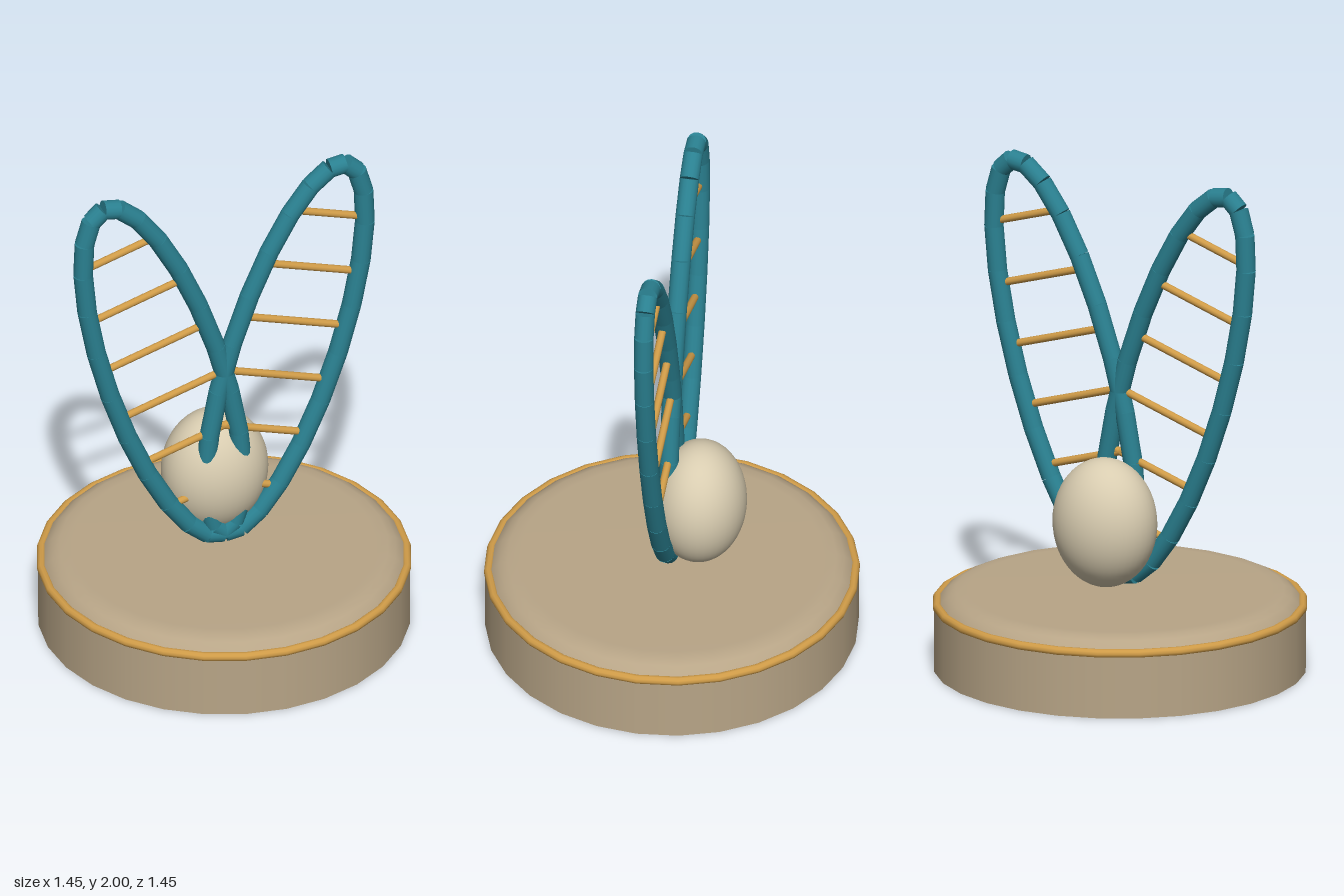
import * as THREE from 'three';

const material = (name, color) => {
  const m = new THREE.MeshStandardMaterial({ color });
  m.name = name;
  return m;
};

export function createModel() {
  const stone = material('warm stone', 0xb8a587);
  const cream = material('cream', 0xd8ccb0);
  const teal = material('teal', 0x2a8090);
  const gold = material('gold', 0xd09c48);
  const model = new THREE.Group();
  model.name = 'loopSculpture';

  const add = (parent, name, geometry, mat) => {
    const mesh = new THREE.Mesh(geometry, mat);
    mesh.name = name;
    parent.add(mesh);
    return mesh;
  };

  // Straight rod between two points
  const rod = (parent, name, p, q, radius, sides, mat) => {
    const dir = q.clone().sub(p);
    const mesh = add(parent, name, new THREE.CylinderGeometry(radius, radius, dir.length(), sides), mat);
    mesh.position.copy(p).add(q).multiplyScalar(0.5);
    mesh.quaternion.setFromUnitVectors(new THREE.Vector3(0, 1, 0), dir.normalize());
  };

  // Plinth: drum, softly rounded top and gold rim
  const sides = 28;
  const plinth = new THREE.Group();
  plinth.name = 'plinth';
  model.add(plinth);
  add(plinth, 'drum', new THREE.CylinderGeometry(0.72, 0.72, 0.26, sides), stone).position.y = 0.13;
  const profile = [[0.705, 0.255], [0.69, 0.277], [0.665, 0.296], [0.635, 0.308], [0.59, 0.31], [0, 0.31]];
  add(plinth, 'roundedTop', new THREE.LatheGeometry(profile.map(([x, y]) => new THREE.Vector2(x, y)), sides), stone);
  const rim = add(plinth, 'rim', new THREE.TorusGeometry(0.707, 0.018, 10, sides), gold);
  rim.rotation.x = -Math.PI / 2;
  rim.position.y = 0.256;

  // Egg-shaped core behind the loops
  const core = add(model, 'core', new THREE.SphereGeometry(1, 40, 28), cream);
  core.scale.set(0.21, 0.255, 0.182);
  core.position.set(0, 0.605, -0.108);

  // Two leaning elliptical loops of short segments, each with six rungs
  const a = 0.83, b = 0.226, segments = 24;
  for (const side of [1, -1]) {
    const loop = new THREE.Group();
    loop.name = side > 0 ? 'leftLoop' : 'rightLoop';
    loop.position.set(side * 0.25, 1.165, 0);
    loop.rotation.z = -side * 0.3;
    model.add(loop);

    const point = (i) => {
      const t = (i / segments) * Math.PI * 2;
      return new THREE.Vector3(b * Math.sin(t), a * Math.cos(t), 0);
    };
    for (let i = 0; i < segments; i++) {
      rod(loop, 'loopSegment', point(i), point(i + 1), 0.038, 16, teal);
    }
    for (let i = 0; i < 6; i++) {
      const y = -0.605 + i * 0.242;
      const x = b * Math.sqrt(1 - (y / a) ** 2);
      rod(loop, 'rung', new THREE.Vector3(-x, y, 0), new THREE.Vector3(x, y, 0), 0.015, 10, gold);
    }
  }
  return model;
}
